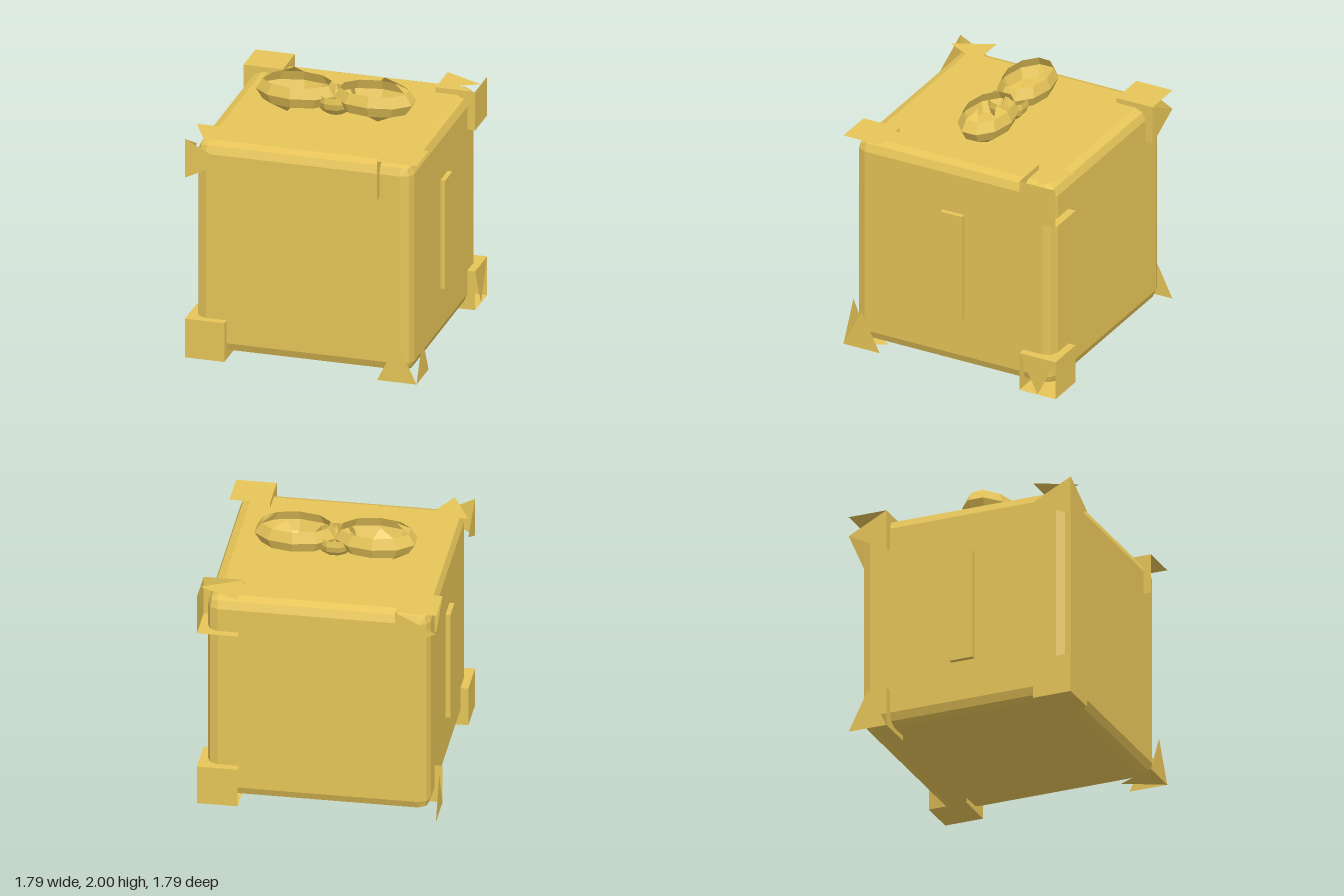
import * as THREE from 'three';
import { RoundedBoxGeometry } from 'three/addons/geometries/RoundedBoxGeometry.js';

const gold = new THREE.MeshStandardMaterial({ color: 0xe6c458, flatShading: true, side: THREE.DoubleSide });

// Mesh from a list of polygons, each an array of [x, y, z] corners
function polyMesh(name, polys) {
  const pos = [];
  for (const p of polys)
    for (let i = 1; i < p.length - 1; i++) pos.push(...p[0], ...p[i], ...p[i + 1]);
  const g = new THREE.BufferGeometry();
  g.setAttribute('position', new THREE.Float32BufferAttribute(pos, 3));
  g.computeVertexNormals();
  const m = new THREE.Mesh(g, gold);
  m.name = name;
  return m;
}

const MID = 0.875; // height of the box centre
const INNER = [0.59, 0.565, 0.59], OUTER = [0.895, 0.875, 0.895];

// One corner guard. plates: [axis] is a square, [axis, baseAxis, baseSide] a triangle
// standing on the inner (0) or outer (1) edge. rims: axes with an inward-facing wall.
function cornerGuard(signs, plates, rims) {
  const place = t => t.map((v, k) =>
    (k === 1 ? MID : 0) + signs[k] * (INNER[k] + v * (OUTER[k] - INNER[k])));
  const square = (axis, level) => {
    const [i, j] = [0, 1, 2].filter(k => k !== axis);
    return [[0, 0], [1, 0], [1, 1], [0, 1]].map(([a, b]) => {
      const t = [0, 0, 0];
      t[axis] = level; t[i] = a; t[j] = b;
      return place(t);
    });
  };
  const triangle = (axis, base, side) => {
    const other = 3 - axis - base;
    return [[side, 0], [side, 1], [1 - side, 0.5]].map(([a, b]) => {
      const t = [0, 0, 0];
      t[axis] = 1; t[base] = a; t[other] = b;
      return place(t);
    });
  };
  const polys = plates.map(p => p.length === 1 ? square(p[0], 1) : triangle(...p));
  rims.forEach(axis => polys.push(square(axis, 0)));
  return polyMesh('cornerGuard', polys);
}

// Bow loop: a bulging open band around an ellipse, with pointed folds
function bowLoop(side) {
  const N = 10, polys = [];
  const point = (i, y, s) => {
    const a = (i + 0.5) / N * Math.PI * 2;
    return [side * (0.3 + 0.316 * s * Math.cos(a)), y, 0.195 * s * Math.sin(a)];
  };
  const rings = [[1.78, 0.84], [1.86, 1], [1.94, 0.84]];
  for (let i = 0; i < N; i++)
    for (let r = 0; r < 2; r++)
      polys.push([point(i, ...rings[r]), point(i + 1, ...rings[r]),
        point(i + 1, ...rings[r + 1]), point(i, ...rings[r + 1])]);
  // folds reaching above and below the band
  for (const i of [7, 9])
    polys.push([point(i, 1.94, 0.84), point(i + 1, 1.94, 0.84), point(i + 0.5, 2.0, 0.5)]);
  for (const i of [1, 8])
    polys.push([point(i, 1.78, 0.84), point(i + 1, 1.78, 0.84), point(i + 0.5, 1.72, 0.5)]);
  return polyMesh('bowLoop', polys);
}

export function createModel() {
  const model = new THREE.Group();
  const add = (name, geometry, x, y, z) => {
    const m = new THREE.Mesh(geometry, gold);
    m.name = name;
    m.position.set(x, y, z);
    model.add(m);
    return m;
  };

  // Box with bevelled edges
  add('box', new RoundedBoxGeometry(1.67, 1.67, 1.67, 1, 0.085), 0, MID, 0);

  // Raised bar on each side
  for (const s of [-1, 1])
    add('sideBar', new THREE.BoxGeometry(0.08, 0.87, 0.185), s * 0.832, MID, 0);

  // Corner guards: x = 0, y = 1, z = 2
  const X = 0, Y = 1, Z = 2;
  model.add(
    cornerGuard([1, 1, 1], [[Y]], [X]),
    cornerGuard([1, 1, -1], [[X], [Y, X, 0]], [Y, Z]),
    cornerGuard([1, -1, 1], [[X, Y, 1], [Z, Y, 1], [Y, Z, 1]], []),
    cornerGuard([1, -1, -1], [[X, Y, 0], [Y], [Z]], [Y, Z]),
    cornerGuard([-1, 1, 1], [[X, Z, 1], [Y, Z, 0], [Z, X, 1]], []),
    cornerGuard([-1, 1, -1], [[X, Z, 0], [Y], [Z, X, 0]], [X, Z]),
    cornerGuard([-1, -1, 1], [[X], [Y], [Z]], [X, Y, Z]),
    cornerGuard([-1, -1, -1], [[X, Y, 1]], [Z]),
  );

  // Bow on the lid
  model.add(bowLoop(-1), bowLoop(1));
  const knot = add('bowKnot', new THREE.SphereGeometry(0.155, 10, 5, 0, Math.PI * 2, Math.PI * 0.4, Math.PI * 0.6), 0, 1.84, 0);
  knot.scale.y = 0.85;
  add('knotPeak', new THREE.ConeGeometry(0.07, 0.17, 6, 1, true), 0, 1.865, 0);

  return model;
}
